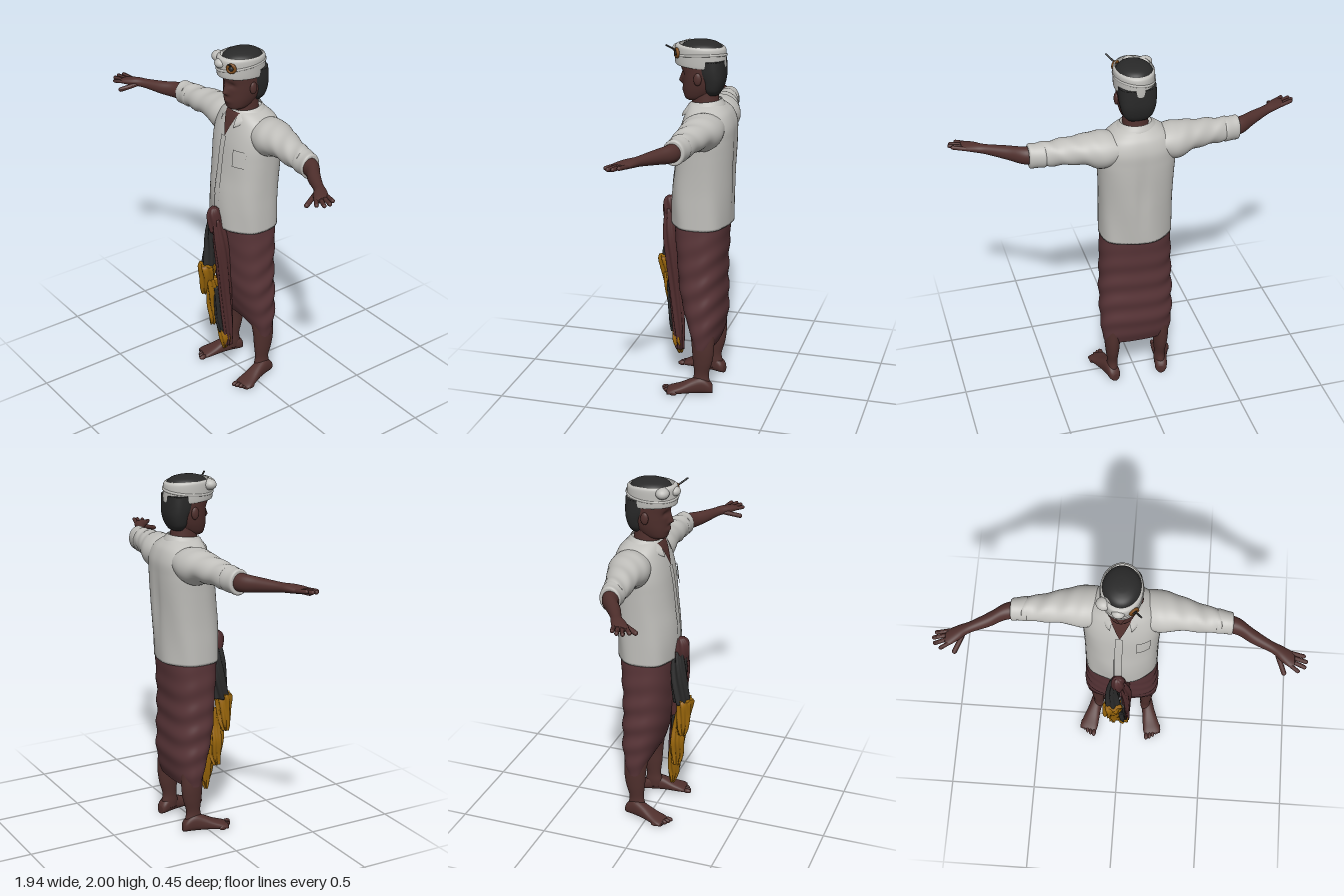
import * as THREE from 'three';

const mat = (name, color, side = THREE.FrontSide) => {
  const m = new THREE.MeshStandardMaterial({ color, side });
  m.name = name;
  return m;
};

// Indexed surface from a rule; u can wrap round, flip reverses the facing
function grid(nu, nv, fn, wrap = false, flip = false) {
  const pos = [], idx = [], cols = wrap ? nu : nu + 1;
  for (let j = 0; j <= nv; j++)
    for (let i = 0; i < cols; i++) pos.push(...fn(i / nu, j / nv, j).toArray());
  for (let j = 0; j < nv; j++)
    for (let i = 0; i < nu; i++) {
      const k = (i + 1) % cols;
      const a = j * cols + i, b = j * cols + k, c = a + cols, d = b + cols;
      if (flip) idx.push(a, d, b, a, c, d);
      else idx.push(a, b, d, a, d, c);
    }
  const g = new THREE.BufferGeometry();
  g.setAttribute('position', new THREE.Float32BufferAttribute(pos, 3));
  g.setIndex(idx);
  g.computeVertexNormals();
  return g;
}

// Smooth interpolation through rows of numbers
function sample(rows, t) {
  const f = t * (rows.length - 1), i = Math.min(Math.floor(f), rows.length - 2), s = f - i;
  const r = k => rows[Math.max(0, Math.min(rows.length - 1, k))];
  return rows[i].map((_, c) => {
    const a = r(i - 1)[c], b = r(i)[c], d = r(i + 1)[c], e = r(i + 2)[c];
    return b + 0.5 * s * (d - a + s * (2 * a - 5 * b + 4 * d - e + s * (3 * (b - d) + e - a)));
  });
}

const power = (v, n) => Math.sign(v) * Math.abs(v) ** (2 / n);

// Loft of rounded rings; each row is [position on axis, centre, half width, front z, back z]
function loft(rows, { axis = 'y', n = 2, nu = 40, nv = 32, cap = true, warp } = {}) {
  const e = cap ? 1 : 0;
  return grid(nu, nv + 2 * e, (u, _, j) => {
    const t = Math.min(1, Math.max(0, (j - e) / nv)), a = u * Math.PI * 2;
    const k = cap && (j === 0 || j === nv + 2) ? 0 : 1;
    const [h, c, r, zf, zb] = sample(rows, t);
    const w = c + k * r * power(Math.sin(a), n);
    const z = (zf + zb) / 2 + k * (zf - zb) / 2 * power(Math.cos(a), n);
    const p = axis === 'y' ? new THREE.Vector3(w, h, z) : new THREE.Vector3(h, w, z);
    if (warp && k) warp(p, a, t);
    return p;
  }, true, axis === 'x');
}

function mirror(geo) {
  const g = geo.clone().scale(-1, 1, 1), ix = g.index.array;
  for (let i = 0; i < ix.length; i += 3) [ix[i], ix[i + 1]] = [ix[i + 1], ix[i]];
  g.computeVertexNormals();
  return g;
}

// Tapered-looking capsule between two points
function between(a, b, r) {
  const A = new THREE.Vector3(...a), d = new THREE.Vector3(...b).sub(A), len = d.length();
  const q = new THREE.Quaternion().setFromUnitVectors(new THREE.Vector3(0, 1, 0), d.clone().normalize());
  return new THREE.CapsuleGeometry(r, len, 5, 12).applyQuaternion(q)
    .translate(...A.addScaledVector(d, 0.5).toArray());
}

const ball = (x, y, z, rx, ry, rz) => new THREE.SphereGeometry(1, 24, 16).scale(rx, ry, rz).translate(x, y, z);
const bump = (v, c, w) => Math.exp(-(((v - c) / w) ** 2));

export function createModel() {
  const model = new THREE.Group();
  const skin = mat('skin', 0x50302d), white = mat('white cotton', 0xc0bfbb, THREE.DoubleSide);
  const wine = mat('wine cloth', 0x593538, THREE.DoubleSide), black = mat('black', 0x292929);
  const gold = mat('gold cloth', 0x98650a), bronze = mat('bronze', 0x7d4c1c);
  const sash = mat('sash maroon', 0x4f2c2d);
  const add = (name, geo, m) => {
    const mesh = new THREE.Mesh(geo, m);
    mesh.name = name;
    model.add(mesh);
  };
  const pair = (name, geo, m) => {
    add('left' + name, geo, m);
    add('right' + name, mirror(geo), m);
  };

  // Head and neck: nose, sockets and lips are pushed out of the loft
  add('head', loft([
    [1.672, 0, 0.03, 0.045, -0.03], [1.688, 0, 0.058, 0.06, -0.07], [1.73, 0, 0.078, 0.068, -0.115],
    [1.78, 0, 0.09, 0.07, -0.145], [1.83, 0, 0.095, 0.074, -0.15], [1.88, 0, 0.097, 0.082, -0.152],
    [1.94, 0, 0.09, 0.07, -0.14]], { nu: 80, nv: 48, n: 2.2, warp: (p, a) => {
    if (Math.cos(a) < 0.3) return;
    const y = p.y, ramp = y > 1.772 ? Math.max(0, 1 - (y - 1.772) / 0.06) : Math.max(0, 1 - (1.772 - y) / 0.018);
    p.z += 0.026 * ramp * bump(p.x, 0, 0.017) + 0.008 * bump(y, 1.727, 0.014) * bump(p.x, 0, 0.028)
      - 0.011 * bump(y, 1.822, 0.016) * (bump(p.x, 0.038, 0.02) + bump(p.x, -0.038, 0.02));
  } }), skin);
  add('neck', loft([[1.58, 0, 0.08, 0.035, -0.14], [1.65, 0, 0.07, 0.022, -0.13],
    [1.7, 0, 0.067, 0.02, -0.125], [1.76, 0, 0.065, 0.01, -0.12]]), skin);
  pair('Ear', ball(0.098, 1.805, -0.035, 0.012, 0.034, 0.022), skin);

  // Hair
  add('hairBack', loft([[1.71, 0, 0.055, -0.07, -0.13], [1.74, 0, 0.08, -0.055, -0.148],
    [1.79, 0, 0.094, -0.045, -0.162], [1.84, 0, 0.1, -0.02, -0.165], [1.9, 0, 0.1, -0.005, -0.163]], { n: 2.7 }), black);
  add('hairTop', loft([[1.92, 0, 0.1, 0.09, -0.15], [1.96, 0, 0.096, 0.08, -0.145],
    [1.983, 0, 0.078, 0.06, -0.125], [1.996, 0, 0.045, 0.025, -0.085], [2, 0, 0.01, -0.01, -0.04]]), black);

  // Headband with knot, folds and ornament
  const tilt = p => { p.y += 0.05 * (p.z + 0.03); };
  add('headband', loft([[1.862, 0, 0.099, 0.1, -0.155], [1.868, 0, 0.106, 0.112, -0.165], [1.92, 0, 0.108, 0.114, -0.166],
    [1.962, 0, 0.106, 0.111, -0.163], [1.975, 0, 0.096, 0.09, -0.148]], { cap: false, warp: tilt }), white);
  const fold = new THREE.TorusGeometry(1, 0.06, 8, 48).rotateX(Math.PI / 2).scale(0.106, 0.13, 0.138);
  add('headbandFold', fold.rotateZ(0.14).rotateX(0.06).translate(0, 1.918, -0.026), white);
  add('headbandLobe', ball(-0.083, 1.95, 0.06, 0.04, 0.03, 0.036), white);
  add('headbandPeak', ball(-0.008, 1.945, 0.103, 0.034, 0.026, 0.03), white);
  add('ornamentRing', new THREE.TorusGeometry(0.02, 0.009, 8, 20).rotateY(0.6).translate(0.068, 1.935, 0.087), bronze);
  add('ornamentCentre', ball(0.068, 1.935, 0.088, 0.015, 0.015, 0.012), black);
  add('ornamentSpike', between([0.07, 1.95, 0.09], [0.106, 1.982, 0.132], 0.005), black);

  // Shirt body
  const torso = [[0.985, 0, 0.2, 0.122, -0.203], [1.1, 0, 0.2, 0.125, -0.208], [1.2, 0, 0.2, 0.12, -0.213],
    [1.3, 0, 0.203, 0.107, -0.217], [1.4, 0, 0.208, 0.095, -0.221], [1.48, 0, 0.212, 0.083, -0.222],
    [1.55, 0, 0.205, 0.066, -0.22], [1.61, 0, 0.175, 0.046, -0.2], [1.645, 0, 0.13, 0.032, -0.17], [1.665, 0, 0.09, 0.02, -0.145]];
  add('shirtBody', loft(torso, { n: 2.35, nu: 64, nv: 54, warp: (p, a) => {
    const low = Math.max(0, 1.5 - p.y);
    p.z += 0.012 * low * Math.sin(5 * a + 7 * p.y) + (Math.cos(a) < 0 ? 0.01 * bump(p.x, 0, 0.025) * bump(p.y, 1.3, 0.2) : 0);
  } }), white);

  // Thin plates that follow the front of the shirt
  const front = (x, y) => {
    let lo = 0, hi = 1;
    for (let i = 0; i < 24; i++) {
      const m = (lo + hi) / 2;
      if (sample(torso, m)[0] < y) lo = m; else hi = m;
    }
    const [, , r, zf, zb] = sample(torso, lo);
    return (zf + zb) / 2 + (zf - zb) / 2 * Math.max(0, 1 - Math.abs(x / r) ** 2.35) ** (1 / 2.35);
  };
  const patch = (name, y0, y1, xl, xr, off, m) => add(name, grid(8, 14, (u, v) => {
    const y = y0 + (y1 - y0) * v, x = xl(v) + (xr(v) - xl(v)) * u;
    return new THREE.Vector3(x, y, front(x, y) + off);
  }), m);
  patch('openNeck', 1.525, 1.66, v => -0.006 - 0.05 * v, v => -0.002 + 0.056 * v, 0.007, skin);
  patch('placket', 1.0, 1.525, () => -0.028, () => 0.012, 0.009, white);
  patch('placketGap', 1.1, 1.31, () => -0.033, () => -0.029, 0.009, black);
  patch('pocket', 1.38, 1.475, v => 0.085 - 0.004 * v, v => 0.155 + 0.004 * v, 0.009, white);

  // Collar, dropping to a point on both sides of the opening
  add('collar', grid(56, 6, (u, v) => {
    const a = 0.48 + u * (Math.PI * 2 - 0.96), c = Math.cos(a), f = Math.max(0, c);
    const out = Math.min(1, v * 1.3);
    return new THREE.Vector3((0.083 + 0.036 * out) * Math.sin(a), 1.677 - 0.008 * c - v * (0.042 + 0.06 * f ** 3),
      -0.058 + (0.084 + (0.02 + 0.036 * f) * out) * c);
  }, false, true), white);

  // Sleeves and rolled cuffs
  pair('Sleeve', loft([[0.1, 1.56, 0.07, 0.01, -0.19], [0.2, 1.545, 0.1, 0.03, -0.198], [0.3, 1.555, 0.077, 0.018, -0.168],
    [0.42, 1.548, 0.069, 0.016, -0.132], [0.52, 1.543, 0.064, 0.01, -0.108]], { axis: 'x', warp: (p, a, t) => {
    p.y += 0.006 * t * Math.sin(t * 26 + 2 * a);
  } }), white);
  pair('Cuff', loft([[0.49, 1.543, 0.063, 0.008, -0.11], [0.5, 1.542, 0.069, 0.014, -0.116], [0.54, 1.541, 0.067, 0.012, -0.107],
    [0.57, 1.54, 0.069, 0.014, -0.1], [0.578, 1.54, 0.06, 0.006, -0.092]], { axis: 'x' }), white);

  // Forearms and hands
  pair('Forearm', loft([[0.5, 1.54, 0.05, 0, -0.095], [0.6, 1.541, 0.048, 0.015, -0.075], [0.68, 1.543, 0.038, 0.06, -0.02],
    [0.78, 1.548, 0.026, 0.106, 0.044], [0.83, 1.55, 0.024, 0.148, 0.066], [0.875, 1.549, 0.019, 0.18, 0.088],
    [0.9, 1.549, 0.013, 0.178, 0.105]], { axis: 'x' }), skin);
  const fingers = [[0.88, 0.102, 0.945, 0.12], [0.885, 0.125, 0.958, 0.148], [0.885, 0.147, 0.95, 0.176], [0.872, 0.165, 0.918, 0.198]];
  fingers.forEach(([x, z, x2, z2], i) =>
    pair('Finger' + (i + 1), between([x, 1.549, z], [x2, 1.558 - 0.004 * i, z2], 0.011), skin));
  pair('Thumb', between([0.815, 1.54, 0.12], [0.85, 1.517, 0.203], 0.013), skin);

  // Wrapped skirt with draped folds and a hem raised at the front
  add('wrapSkirt', loft([[0.275, 0, 0.192, -0.005, -0.14], [0.35, 0, 0.203, 0.018, -0.163], [0.45, 0, 0.208, 0.045, -0.175],
    [0.6, 0, 0.208, 0.075, -0.174], [0.75, 0, 0.203, 0.088, -0.175], [0.9, 0, 0.199, 0.1, -0.184],
    [1.02, 0, 0.192, 0.108, -0.19]], { n: 2.5, nu: 88, nv: 80, cap: false, warp: (p, a, t) => {
    const amp = 0.034 * Math.sin(Math.PI * Math.min(1, t * 1.05)) * (0.65 - 0.35 * Math.cos(a));
    const k = 1 + amp * Math.sin(p.y * 48 + 2.6 * Math.sin(a + 0.4) + 1.6 * Math.sin(2 * a));
    p.x *= k;
    p.z = -0.05 + (p.z + 0.05) * k;
    p.y += 0.09 * (1 - t) ** 3 * Math.max(0, Math.cos(a)) ** 2;
  } }), wine);

  // Legs and feet
  pair('Leg', loft([[0.03, 0.145, 0.03, -0.025, -0.12], [0.07, 0.144, 0.032, -0.022, -0.12], [0.12, 0.143, 0.03, -0.03, -0.115],
    [0.2, 0.144, 0.039, -0.022, -0.136], [0.3, 0.142, 0.046, -0.014, -0.145], [0.5, 0.12, 0.06, 0.015, -0.14]]), skin);
  const sole = [[0, 0.02, 0.045], [0.06, 0.034, 0.07], [0.22, 0.036, 0.1], [0.42, 0.038, 0.085],
    [0.65, 0.047, 0.055], [0.84, 0.053, 0.036], [0.93, 0.046, 0.024]];
  const toAxis = s => [0.136 + 0.07 * s, -0.136 + 0.27 * s];
  pair('Foot', grid(28, 26, (u, _, j) => {
    const [s, w, h] = sample(sole, Math.min(1, Math.max(0, (j - 1) / 24)));
    const k = j === 0 || j === 26 ? 0 : 1, a = u * Math.PI * 2, [x, z] = toAxis(s);
    const side = k * w * power(Math.cos(a), 2.4);
    return new THREE.Vector3(x + side * 0.97, h / 2 + k * h / 2 * power(Math.sin(a), 2.4), z - side * 0.25);
  }, true), skin);
  for (let i = 0; i < 5; i++) {
    const q = -0.04 + 0.0205 * i, [x, z] = toAxis(0.95 - 0.022 * i * i * 0.4);
    pair('Toe' + (i + 1), ball(x + q, 0.014, z - q * 0.25, i ? 0.0105 : 0.014, 0.014, 0.024), skin);
  }

  // Hanging sash: knot, dark drape, maroon tail and gold ends, all pleated
  const pleat = (amount, count) => (p, a, t) => {
    const w = amount * Math.sin(count * a + 7 * t);
    p.x += w * Math.sin(a);
    p.z += w * Math.cos(a);
  };
  const cloth = (name, rows, m, amount = 0.007) => add(name, loft(rows, { nu: 48, nv: 28, warp: pleat(amount, 6) }), m);
  cloth('sashKnot', [[0.96, -0.005, 0.03, 0.18, 0.09], [1.02, -0.008, 0.038, 0.19, 0.1],
    [1.07, -0.008, 0.034, 0.19, 0.11], [1.1, -0.008, 0.024, 0.175, 0.125], [1.108, -0.008, 0.012, 0.16, 0.14]], sash, 0.003);
  cloth('sashDarkDrape', [[0.72, -0.04, 0.042, 0.205, 0.12], [0.85, -0.038, 0.038, 0.19, 0.1],
    [0.95, -0.032, 0.03, 0.182, 0.1], [1.03, -0.022, 0.02, 0.17, 0.11]], black);
  cloth('sashTail', [[0.2, 0.035, 0.014, 0.105, 0.065], [0.35, 0.036, 0.019, 0.125, 0.06], [0.55, 0.036, 0.021, 0.145, 0.07],
    [0.75, 0.038, 0.024, 0.165, 0.08], [0.9, 0.032, 0.026, 0.178, 0.09], [1.04, 0.012, 0.018, 0.172, 0.11]], sash, 0.005);
  cloth('sashGoldUpper', [[0.53, -0.072, 0.012, 0.19, 0.16], [0.58, -0.062, 0.03, 0.205, 0.145], [0.66, -0.045, 0.045, 0.215, 0.14],
    [0.72, -0.037, 0.051, 0.224, 0.14], [0.745, -0.035, 0.047, 0.218, 0.145]], gold);
  cloth('sashGoldMiddle', [[0.32, -0.048, 0.012, 0.15, 0.115], [0.38, -0.03, 0.03, 0.165, 0.1], [0.47, -0.035, 0.035, 0.175, 0.1],
    [0.56, -0.022, 0.032, 0.185, 0.11], [0.65, -0.025, 0.03, 0.19, 0.13]], gold);
  cloth('sashGoldTip', [[0.16, 0.003, 0.005, 0.1, 0.085], [0.21, 0.016, 0.022, 0.12, 0.07], [0.26, 0.018, 0.034, 0.132, 0.065],
    [0.34, 0.0, 0.03, 0.135, 0.075], [0.44, -0.015, 0.025, 0.15, 0.09]], gold, 0.005);
  cloth('sashDarkLining', [[0.3, 0.018, 0.014, 0.14, 0.09], [0.4, 0.012, 0.02, 0.158, 0.085], [0.6, 0.008, 0.02, 0.165, 0.09]], black, 0.004);
  return model;
}
